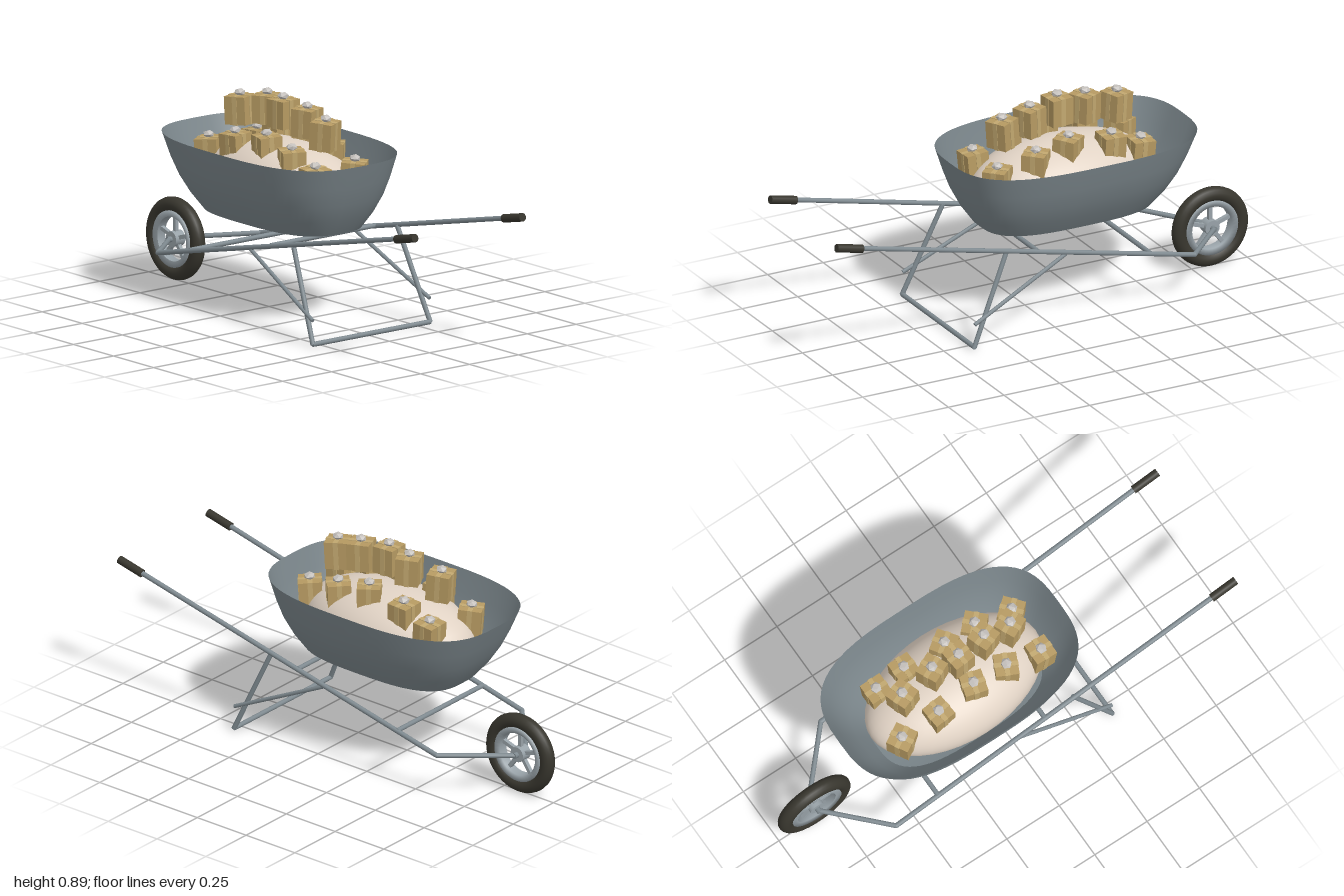
import * as THREE from 'three';

const mat = (name, color, extra = {}) => {
  const m = new THREE.MeshStandardMaterial({ color, ...extra });
  m.name = name;
  return m;
};

export function createModel() {
  const root = new THREE.Group();
  root.name = 'wheelbarrow';
  const M = {
    basin: mat('basin grey', 0x7a858a, { side: THREE.DoubleSide }),
    frame: mat('frame steel', 0x7f8a90),
    rim: mat('rim steel', 0x98a2a8),
    rubber: mat('dark rubber', 0x38362e),
    mound: mat('pale filling', 0xe0d2c4),
    box: mat('tan wrapping', 0xb69a62),
    ribbon: mat('ribbon', 0xc2a870),
    bow: mat('bow', 0xc4c0bc, { flatShading: true }),
  };
  const add = (parent, name, geo, material, pos = [0, 0, 0]) => {
    const m = new THREE.Mesh(geo, material);
    m.name = name;
    m.position.set(...pos);
    parent.add(m);
    return m;
  };
  // Straight tube between two points
  const bar = (parent, name, a, b, r, material, sides = 10) => {
    const p = new THREE.Vector3(...a), q = new THREE.Vector3(...b);
    const d = q.clone().sub(p);
    const m = add(parent, name, new THREE.CylinderGeometry(r, r, d.length(), sides), material);
    m.position.copy(p).add(q).multiplyScalar(0.5);
    m.quaternion.setFromUnitVectors(new THREE.Vector3(0, 1, 0), d.normalize());
    return m;
  };

  // Skin over rounded-rectangle rings: [half width, half length, centre z, y]
  const skin = (rings, n = 64) => {
    const pos = [], idx = [];
    const round = (v) => Math.sign(v) * Math.abs(v) ** (2 / 3);
    rings.forEach(([hx, hz, zc, y], j) => {
      for (let i = 0; i < n; i++) {
        const a = (i / n) * Math.PI * 2;
        pos.push(hx * round(Math.cos(a)), y, zc + hz * round(Math.sin(a)));
        if (j) {
          const k = (i + 1) % n, p = (j - 1) * n, q = j * n;
          idx.push(p + i, q + i, p + k, q + i, q + k, p + k);
        }
      }
    });
    const g = new THREE.BufferGeometry();
    g.setAttribute('position', new THREE.Float32BufferAttribute(pos, 3));
    g.setIndex(idx);
    g.computeVertexNormals();
    return g;
  };

  // Basin wall and shallow dished floor
  add(root, 'basinWall', skin([
    [0.2, 0.37, -0.165, 0.385], [0.243, 0.42, -0.17, 0.45], [0.279, 0.46, -0.175, 0.52],
    [0.304, 0.492, -0.18, 0.595], [0.325, 0.525, -0.185, 0.685],
  ]), M.basin);
  add(root, 'basinFloor', skin([
    [0.001, 0.001, -0.165, 0.368], [0.14, 0.26, -0.165, 0.37], [0.2, 0.37, -0.165, 0.385],
  ]), M.basin);

  // Mound of filling
  const mound = add(root, 'mound', new THREE.SphereGeometry(1, 40, 28), M.mound, [0, 0.522, -0.165]);
  mound.scale.set(0.235, 0.181, 0.395);

  // Frame: mirrored rails, legs, braces and grips
  const frame = new THREE.Group();
  frame.name = 'frame';
  root.add(frame);
  for (const s of [-1, 1]) {
    const kink = [s * 0.265, 0.192, -0.62];
    bar(frame, 'rail', [s * 0.275, 0.548, 0.95], kink, 0.01, M.frame);
    bar(frame, 'wheelArm', kink, [s * 0.034, 0.17, -0.832], 0.01, M.frame);
    add(frame, 'railJoint', new THREE.SphereGeometry(0.01, 10, 8), M.frame, kink);
    bar(frame, 'grip', [s * 0.275, 0.557, 0.996], [s * 0.275, 0.531, 0.88], 0.017, M.rubber, 14);
    bar(frame, 'leg', [s * 0.265, 0.383, 0.225], [s * 0.3, 0.012, 0.39], 0.01, M.frame);
    bar(frame, 'brace', [s * 0.299, 0.11, 0.387], [s * 0.265, 0.315, -0.04], 0.008, M.frame);
  }
  [['footBar', 0.3, 0.014, 0.388], ['rearCrossbar', 0.268, 0.355, 0.088], ['frontCrossbar', 0.268, 0.24, -0.42]]
    .forEach(([name, x, y, z]) => bar(frame, name, [-x, y, z], [x, y, z], 0.01, M.frame));

  // Wheel, built facing z and turned to roll forward
  const wheel = new THREE.Group();
  wheel.name = 'wheel';
  wheel.position.set(0, 0.17, -0.832);
  wheel.rotation.y = Math.PI / 2;
  root.add(wheel);
  add(wheel, 'tire', new THREE.TorusGeometry(0.138, 0.03, 16, 48), M.rubber);
  const rimProfile = [[0.09, -0.02], [0.115, -0.024], [0.115, 0.024], [0.09, 0.02], [0.09, -0.02]]
    .map(([r, y]) => new THREE.Vector2(r, y));
  add(wheel, 'rim', new THREE.LatheGeometry(rimProfile, 40), M.rim).rotation.x = Math.PI / 2;
  bar(wheel, 'hub', [0, 0, -0.024], [0, 0, 0.024], 0.032, M.rim, 20);
  bar(wheel, 'axle', [0, 0, -0.042], [0, 0, 0.042], 0.012, M.frame, 12);
  for (let i = 0; i < 5; i++) {
    const a = Math.PI / 2 + (i / 5) * Math.PI * 2;
    const spoke = add(wheel, 'spoke', new THREE.BoxGeometry(0.075, 0.016, 0.016), M.rim,
      [Math.cos(a) * 0.06, Math.sin(a) * 0.06, 0]);
    spoke.rotation.z = a;
  }

  // Wrapped parcels: [x, top y, z, turn in degrees]
  const W = 0.094, H = 0.113;
  const boxGeo = new THREE.BoxGeometry(W, H, W);
  const bandGeo = new THREE.BoxGeometry(0.02, H + 0.004, W + 0.004);
  const bowGeo = new THREE.IcosahedronGeometry(0.024, 0);
  [
    [0, 0.822, 0.1, 25], [0.005, 0.852, -0.02, 20], [-0.01, 0.868, -0.15, 5],
    [0.005, 0.863, -0.265, 25], [-0.01, 0.833, -0.415, 20],
    [-0.11, 0.66, 0.17, 0], [0.09, 0.66, 0.17, 40], [-0.1, 0.705, 0.015, -25],
    [0.11, 0.705, 0.01, 45], [-0.1, 0.735, -0.14, -15], [0.1, 0.735, -0.14, 35],
    [-0.115, 0.715, -0.315, 5], [0.11, 0.715, -0.325, 0], [-0.11, 0.665, -0.485, 30],
    [0.11, 0.67, -0.455, 0],
  ].forEach(([x, top, z, deg]) => {
    const gift = new THREE.Group();
    gift.name = 'parcel';
    gift.position.set(x, top - H / 2, z);
    gift.rotation.set((z + 0.165) * 0.25, THREE.MathUtils.degToRad(deg), -x * 0.4);
    root.add(gift);
    add(gift, 'box', boxGeo, M.box);
    add(gift, 'ribbonLengthwise', bandGeo, M.ribbon);
    add(gift, 'ribbonCrosswise', bandGeo, M.ribbon).rotation.y = Math.PI / 2;
    add(gift, 'bow', bowGeo, M.bow, [0, H / 2 + 0.012, 0]).scale.y = 0.65;
  });

  return root;
}
